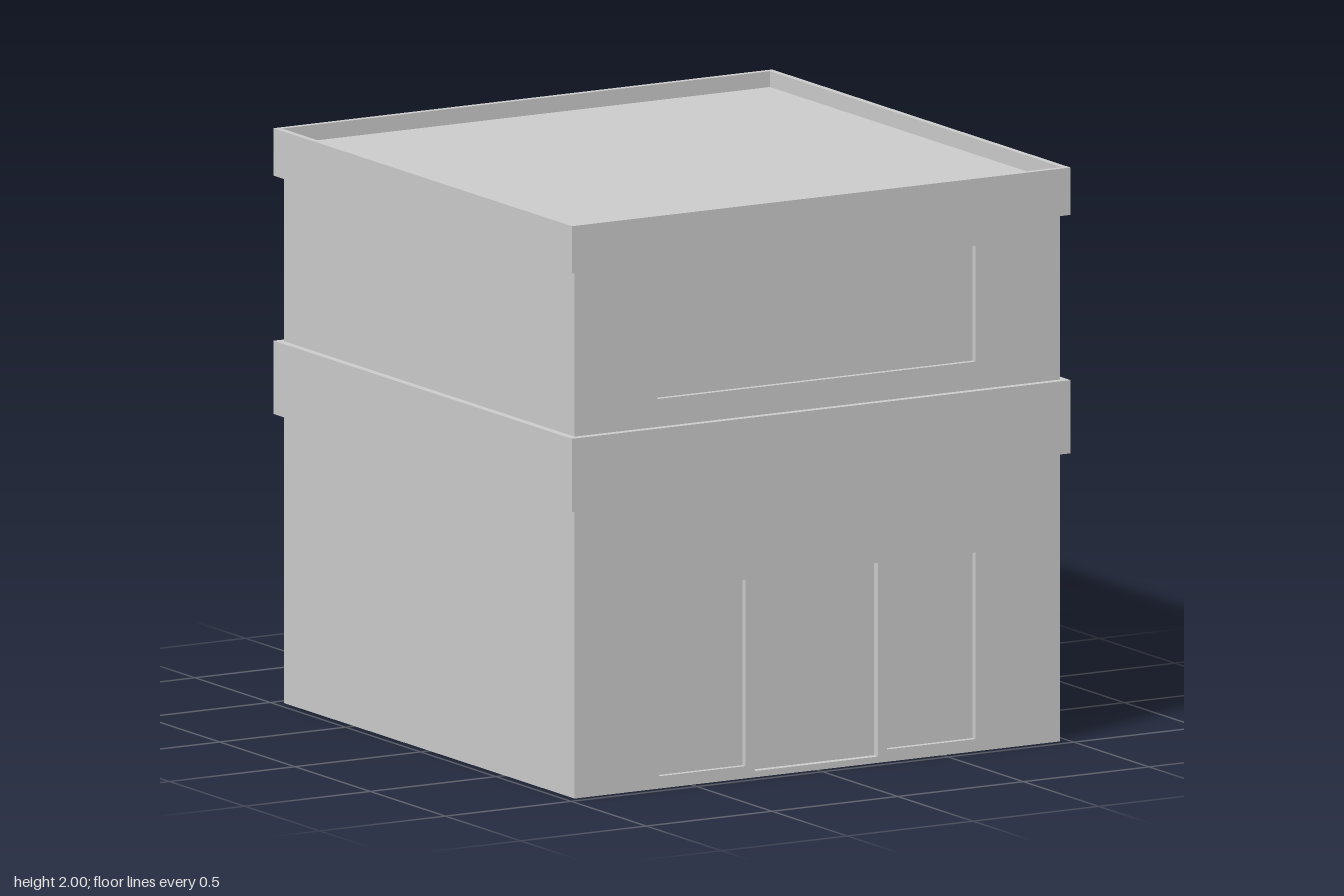
import * as THREE from 'three';

const material = new THREE.MeshStandardMaterial({ color: 0xcccccc, flatShading: true });

const WALL = 0.965;   // half width of the walls
const TRIM = 0.992;   // half width of the band and parapet
const RIM = 0.97;     // half width inside the parapet
const ROOF = 1.945;   // height of the roof deck
const FACADE = 0.03;  // thickness of the front wall layer

// Recesses in the front wall: name, x0, x1, y0, y1, depth
const openings = [
  ['upperWindow', -0.636, 0.63, 1.357, 1.76, 0.02],
  ['rightShopWindow', -0.63, -0.285, 0.043, 0.692, 0.02],
  ['door', -0.247, 0.242, 0.022, 0.697, 0.027],
  ['leftShopWindow', 0.278, 0.63, 0.043, 0.692, 0.02],
];

// Traces a rectangle on a Shape or Path
function rect(path, x0, x1, y0, y1) {
  path.moveTo(x0, y0);
  path.lineTo(x1, y0);
  path.lineTo(x1, y1);
  path.lineTo(x0, y1);
  path.closePath();
  return path;
}

export function createModel() {
  const group = new THREE.Group();
  const add = (name, geometry) => {
    const mesh = new THREE.Mesh(geometry, material);
    mesh.name = name;
    group.add(mesh);
  };
  const box = (name, x0, x1, y0, y1, z0, z1) => add(name,
    new THREE.BoxGeometry(x1 - x0, y1 - y0, z1 - z0)
      .translate((x0 + x1) / 2, (y0 + y1) / 2, (z0 + z1) / 2));
  // Square collar around the building
  const collar = (name, inner, y0, y1) => {
    const shape = rect(new THREE.Shape(), -TRIM, TRIM, -TRIM, TRIM);
    shape.holes.push(rect(new THREE.Path(), -inner, inner, -inner, inner));
    add(name, new THREE.ExtrudeGeometry(shape, { depth: y1 - y0, bevelEnabled: false })
      .rotateX(-Math.PI / 2).translate(0, y0, 0));
  };

  // Main block, with a front layer cut out for the openings
  const back = WALL - FACADE;
  box('mainBlock', -WALL, WALL, 0, 1.9, -WALL, back);
  const front = rect(new THREE.Shape(), -WALL, WALL, 0, 1.9);
  for (const [, x0, x1, y0, y1] of openings) {
    front.holes.push(rect(new THREE.Path(), x0, x1, y0, y1));
  }
  add('frontWall', new THREE.ExtrudeGeometry(front, { depth: FACADE, bevelEnabled: false })
    .translate(0, 0, back));

  // Panels set back inside each opening
  for (const [name, x0, x1, y0, y1, depth] of openings) {
    box(name, x0, x1, y0, y1, back - 0.01, WALL - depth);
  }

  // Band between the floors, parapet and sunken roof deck
  collar('floorBand', WALL - 0.01, 1.005, 1.26);
  collar('parapet', RIM, 1.835, 2);
  box('roofDeck', -RIM, RIM, 1.835, ROOF, -RIM, RIM);

  return group;
}
